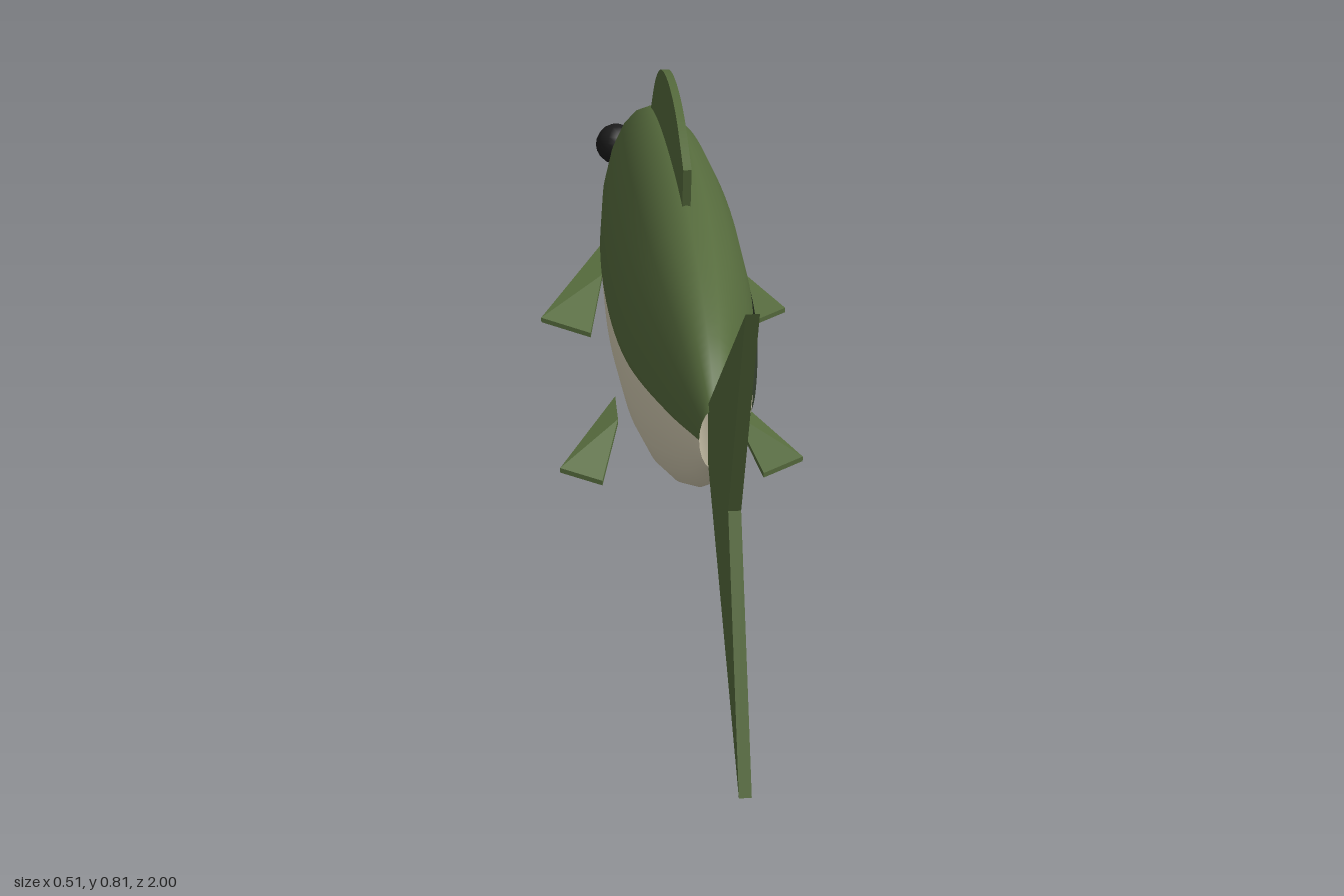
import * as THREE from 'three';
import { ConvexGeometry } from 'three/addons/geometries/ConvexGeometry.js';

const V = (x, y, z) => new THREE.Vector3(x, y, z);
const WIDTH_RATIO = 0.474; // body half width / half height

// Body stations as (centre height, half height, z), nose to tail
const stations = new THREE.CatmullRomCurve3([
  V(0.41, 0, -1), V(0.409, 0.023, -0.99), V(0.405, 0.06, -0.93), V(0.394, 0.142, -0.77),
  V(0.382, 0.245, -0.5), V(0.372, 0.285, -0.16), V(0.378, 0.252, 0.2),
  V(0.398, 0.142, 0.464), V(0.402, 0.056, 0.58),
]).getPoints(64);

// Cross-section at any z, interpolated between stations
function sectionAt(z) {
  let i = 1;
  while (i < stations.length - 1 && stations[i].z < z) i++;
  const a = stations[i - 1], b = stations[i];
  return a.clone().lerp(b, (z - a.z) / (b.z - a.z));
}

// Skin over elliptical sections; angles run from the top towards +x
function skin(sections, angles, closed, offset = 0) {
  const pos = [], n = angles.length;
  for (const s of sections) for (const t of angles) {
    pos.push((s.y * WIDTH_RATIO + offset) * Math.sin(t), s.x + (s.y + offset) * Math.cos(t), s.z);
  }
  const strips = [];
  for (let j = 0; j < (closed ? n : n - 1); j++) {
    const strip = [], k = (j + 1) % n;
    for (let i = 0; i < sections.length - 1; i++) {
      const a = i * n + j, b = i * n + k, c = a + n, d = b + n;
      strip.push(a, c, b, b, c, d);
    }
    strips.push(strip);
  }
  const geo = new THREE.BufferGeometry();
  geo.setAttribute('position', new THREE.Float32BufferAttribute(pos, 3));
  geo.setIndex(strips.flat());
  geo.computeVertexNormals();
  return { geo, perStrip: strips[0].length };
}

// Upright plate from a (z, y) shape, centred on x = 0
function plate(shape, thickness) {
  const geo = new THREE.ExtrudeGeometry(shape, { depth: thickness, bevelEnabled: false, curveSegments: 16 });
  return geo.translate(0, 0, -thickness / 2).rotateY(-Math.PI / 2);
}

export function createModel() {
  const mat = (name, color, side = THREE.FrontSide) => {
    const m = new THREE.MeshStandardMaterial({ color, side });
    m.name = name;
    return m;
  };
  const green = mat('olive green', 0x566b3d, THREE.DoubleSide);
  const cream = mat('belly cream', 0xd6ceb4, THREE.DoubleSide);
  const dark = mat('stripe dark green', 0x343f2d, THREE.DoubleSide);
  const black = mat('eye black', 0x1c1c1c);

  const fish = new THREE.Group();
  fish.name = 'fish';
  const add = (name, geo, material) => {
    const mesh = new THREE.Mesh(geo, material);
    mesh.name = name;
    fish.add(mesh);
    return mesh;
  };

  // Body: green back over a cream belly, open at the tail
  const sides = 20;
  const round = Array.from({ length: sides }, (_, j) => (j / sides) * Math.PI * 2);
  const { geo: body, perStrip } = skin(stations, round, true);
  body.addGroup(0, 5 * perStrip, 0);
  body.addGroup(5 * perStrip, 10 * perStrip, 1);
  body.addGroup(15 * perStrip, 5 * perStrip, 0);
  add('body', body, [green, cream]);

  // Stripe along the left flank only
  const stripeSections = Array.from({ length: 41 }, (_, i) => sectionAt(-0.785 + (i / 40) * 1.185));
  const stripeAngles = [-10.5, -5, 0, 5, 10.5].map((d) => THREE.MathUtils.degToRad(90 + d));
  add('sideStripe', skin(stripeSections, stripeAngles, false, 0.003).geo, dark);

  // Forked tail
  const tail = new THREE.Shape([[0.565, 0.46], [0.58, 0.472], [1, 0.81], [0.835, 0.41], [1, 0], [0.58, 0.342], [0.565, 0.354]]
    .map(([z, y]) => new THREE.Vector2(z, y)));
  add('tailFin', plate(tail, 0.02), green);

  // Dorsal fin with an arched top
  const dorsal = new THREE.Shape();
  dorsal.moveTo(0.11, 0.58);
  dorsal.lineTo(0.14, 0.715);
  dorsal.splineThru([[0.01, 0.773], [-0.136, 0.792], [-0.286, 0.773], [-0.41, 0.715], [-0.515, 0.625]]
    .map(([z, y]) => new THREE.Vector2(z, y)));
  dorsal.lineTo(-0.5, 0.58);
  add('dorsalFin', plate(dorsal, 0.015), green);

  // Paired fins: thin blades sweeping out and back
  const fins = {
    PectoralFin: [[0.115, 0.29, -0.57], [0.12, 0.27, -0.45], [0.255, 0.231, -0.325], [0.155, 0.206, -0.293]],
    PelvicFin: [[0.115, 0.126, -0.155], [0.116, 0.119, -0.065], [0.237, 0.077, 0.05], [0.157, 0.057, 0.073]],
  };
  for (const [side, s] of [['left', 1], ['right', -1]]) {
    for (const [name, corners] of Object.entries(fins)) {
      const points = corners.flatMap(([x, y, z]) => [V(s * x, y + 0.005, z), V(s * x, y - 0.005, z)]);
      add(side + name, new ConvexGeometry(points), green);
    }
    // Eyes
    add(side + 'Eye', new THREE.SphereGeometry(0.046, 12, 10), black).position.set(s * 0.06, 0.435, -0.835);
  }
  return fish;
}
